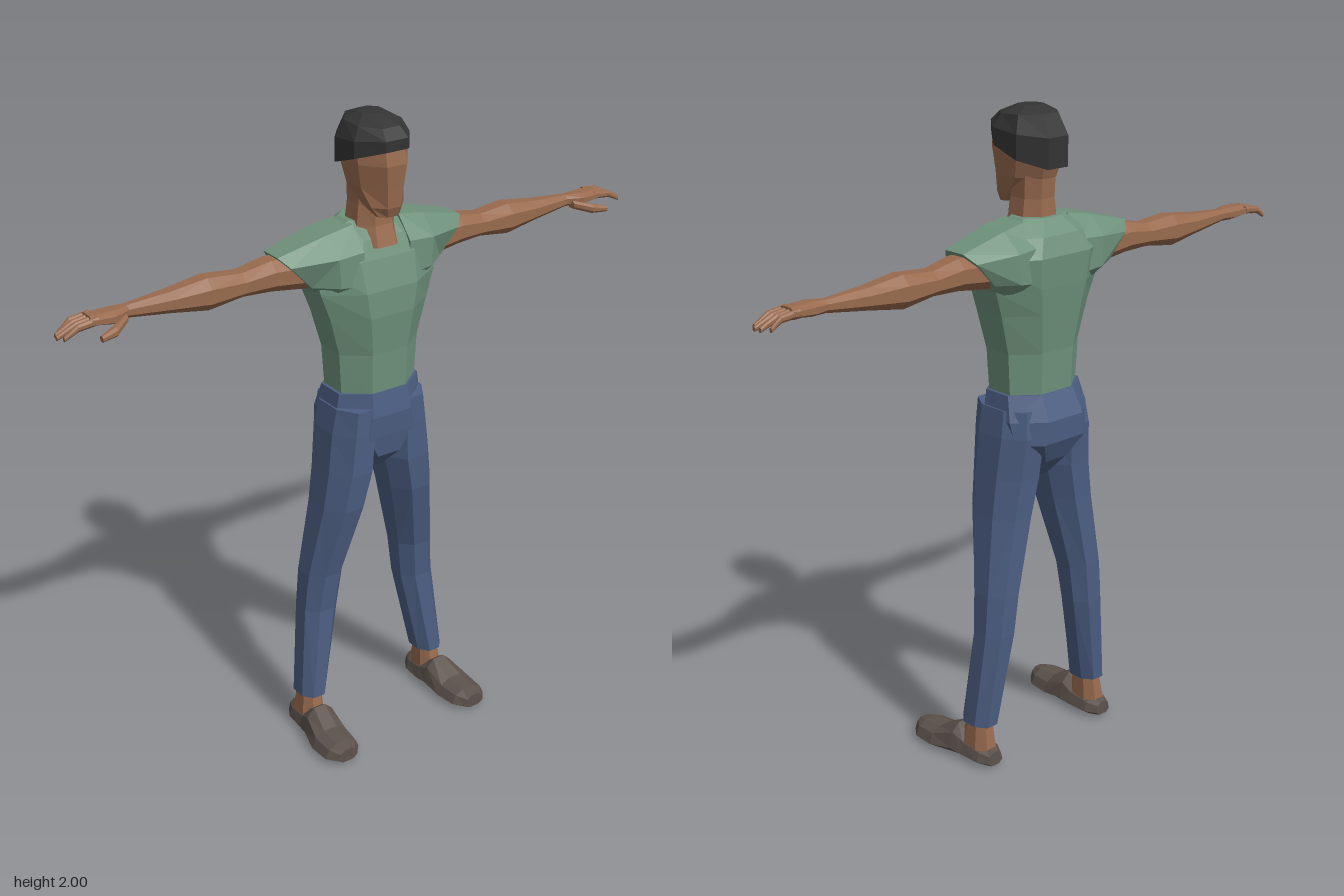
import * as THREE from 'three';

const mat = (name, color) => {
  const m = new THREE.MeshStandardMaterial({ color, flatShading: true });
  m.name = name;
  return m;
};

// Octagon inside a rectangle a0..a1 by b0..b1; c is the share of each side cut at the corners.
function octagon(a0, a1, b0, b1, c = 0.28) {
  const u = [c, 1 - c, 1, 1, 1 - c, c, 0, 0];
  const v = [0, 0, c, 1 - c, 1, 1, 1 - c, c];
  return u.map((t, i) => [a0 + (a1 - a0) * t, b0 + (b1 - b0) * v[i]]);
}
// Cross-section at height y, optionally sloping along z.
const ringY = (y, x0, x1, z0, z1, c, slope = 0) =>
  octagon(x0, x1, z0, z1, c).map(([x, z]) => [x, y + slope * z, z]);
// Cross-section at x; xTop lets the cut lean outward at the top.
const ringX = (x, y0, y1, z0, z1, xTop = x, c = 0.28) =>
  octagon(y0, y1, z0, z1, c).map(([y, z]) => [x + (xTop - x) * (y - y0) / (y1 - y0), y, z]);
// Cross-section at z, narrower at the top.
const ringZ = (z, x0, x1, y0, y1) =>
  octagon(x0, x1, y0, y1, 0.25).map(([x, y]) => {
    const mid = (x0 + x1) / 2;
    return [mid + (x - mid) * (1.05 - 0.4 * (y - y0) / (y1 - y0)), y, z];
  });

// Skin a list of rings and close both ends; faces always point outward.
function loft(name, material, rings, side = 1) {
  const tris = [];
  const n = rings[0].length;
  for (let r = 0; r + 1 < rings.length; r++) {
    for (let i = 0; i < n; i++) {
      const j = (i + 1) % n;
      const [a, b, c, d] = [rings[r][i], rings[r][j], rings[r + 1][j], rings[r + 1][i]];
      tris.push([a, b, c], [a, c, d]);
    }
  }
  const end = rings[rings.length - 1];
  for (let i = 1; i + 1 < n; i++) {
    tris.push([rings[0][0], rings[0][i + 1], rings[0][i]], [end[0], end[i], end[i + 1]]);
  }
  const out = tris.map(t => t.map(p => new THREE.Vector3(p[0] * side, p[1], p[2])));
  const origin = out[0][0].clone();
  let volume = 0;
  for (const [a, b, c] of out) {
    volume += a.clone().sub(origin).dot(b.clone().sub(origin).cross(c.clone().sub(origin)));
  }
  if (volume < 0) out.forEach(t => t.reverse());
  const geo = new THREE.BufferGeometry().setFromPoints(out.flat());
  geo.computeVertexNormals();
  const mesh = new THREE.Mesh(geo, material);
  mesh.name = name;
  return mesh;
}

export function createModel() {
  const model = new THREE.Group();
  model.name = 'standingMan';
  const skin = mat('skin', 0x986a4e);
  const hair = mat('hair', 0x343434);
  const shirt = mat('shirt', 0x6e917b);
  const jeans = mat('jeans', 0x4c5e82);
  const shoe = mat('shoe', 0x5c524c);
  const add = (...args) => model.add(loft(...args));
  // Symmetric horizontal section
  const sym = (y, x, z0, z1, c, slope) => ringY(y, -x, x, z0, z1, c, slope);

  // Head, neck and hair
  add('head', skin, [
    sym(1.715, 0.035, 0.02, 0.066, 0.28),
    sym(1.745, 0.055, -0.035, 0.078, 0.3),
    sym(1.8, 0.074, -0.115, 0.083, 0.32),
    sym(1.87, 0.085, -0.138, 0.09, 0.3),
    sym(1.93, 0.085, -0.135, 0.08, 0.3),
  ]);
  add('neck', skin, [
    sym(1.62, 0.075, -0.12, 0.045),
    sym(1.68, 0.066, -0.115, 0.026),
    sym(1.74, 0.058, -0.11, 0.02),
    sym(1.82, 0.058, -0.115, 0.02),
  ]);
  add('hair', hair, [
    sym(1.882, 0.095, -0.15, 0.088, 0.3, 0.34),
    sym(1.935, 0.094, -0.152, 0.09, 0.3, 0.1),
    sym(1.975, 0.074, -0.12, 0.06, 0.3, -0.05),
    sym(1.998, 0.036, -0.075, 0.0, 0.3, -0.02),
  ]);

  // Shirt body
  add('shirtBody', shirt, [
    sym(1.165, 0.132, -0.15, 0.055),
    sym(1.3, 0.14, -0.155, 0.06),
    sym(1.42, 0.172, -0.17, 0.072),
    sym(1.5, 0.2, -0.18, 0.07),
    sym(1.59, 0.215, -0.187, 0.047),
    sym(1.645, 0.155, -0.165, 0.024),
    sym(1.69, 0.078, -0.13, -0.002),
  ]);

  // Hips
  add('hips', jeans, [
    sym(1.175, 0.142, -0.155, 0.06),
    sym(1.1, 0.155, -0.19, 0.072),
    sym(1.03, 0.145, -0.186, 0.066, 0.22),
    sym(0.96, 0.09, -0.15, 0.055),
    sym(0.9, 0.03, -0.1, 0.0),
  ]);

  for (const side of [1, -1]) {
    const s = side > 0 ? 'left' : 'right';

    // Sleeve with a slanted opening
    add(s + 'Sleeve', shirt, [
      ringX(0.08, 1.45, 1.685, -0.165, 0.045),
      ringX(0.155, 1.47, 1.67, -0.172, 0.045, 0.17),
      ringX(0.2, 1.5, 1.63, -0.138, -0.005, 0.32, 0.22),
    ], side);

    // Arm
    add(s + 'Arm', skin, [
      ringX(0.17, 1.505, 1.615, -0.13, -0.015),
      ringX(0.33, 1.527, 1.618, -0.13, -0.024),
      ringX(0.42, 1.53, 1.6, -0.128, -0.035),
      ringX(0.53, 1.515, 1.61, -0.133, -0.036),
      ringX(0.64, 1.532, 1.595, -0.122, -0.048),
      ringX(0.78, 1.55, 1.585, -0.103, -0.064),
    ], side);

    // Hand
    add(s + 'Palm', skin, [
      ringX(0.77, 1.55, 1.585, -0.103, -0.064),
      ringX(0.82, 1.548, 1.588, -0.112, -0.038),
      ringX(0.89, 1.558, 1.586, -0.116, -0.042),
    ], side);
    add(s + 'Thumb', skin, [
      ringX(0.785, 1.545, 1.57, -0.075, -0.045),
      ringX(0.835, 1.53, 1.558, -0.042, -0.008),
      ringX(0.885, 1.53, 1.547, -0.016, 0.002),
    ], side);
    [0.96, 0.98, 0.985, 0.972].forEach((tip, i) => {
      const z = -0.107 + i * 0.0187;
      add(s + 'Finger' + (i + 1), skin, [
        ringX(0.87, 1.562, 1.584, z - 0.009, z + 0.009),
        ringX(0.93, 1.556, 1.576, z - 0.008, z + 0.008),
        ringX(tip, 1.537, 1.55, z - 0.006, z + 0.006),
      ], side);
    });

    // Trouser leg
    add(s + 'TrouserLeg', jeans, [
      ringY(1.13, 0.02, 0.155, -0.15, 0.066),
      ringY(1.05, 0.015, 0.17, -0.16, 0.066),
      ringY(0.92, 0.02, 0.185, -0.148, 0.062),
      ringY(0.8, 0.05, 0.2, -0.142, 0.05),
      ringY(0.56, 0.108, 0.234, -0.142, -0.004),
      ringY(0.43, 0.125, 0.245, -0.138, -0.018),
      ringY(0.13, 0.185, 0.275, -0.116, -0.002),
    ], side);

    // Ankle and shoe
    add(s + 'Ankle', skin, [
      ringY(0.05, 0.195, 0.275, -0.118, 0.0),
      ringY(0.15, 0.2, 0.262, -0.1, -0.02),
    ], side);
    add(s + 'Shoe', shoe, [
      ringZ(-0.135, 0.205, 0.265, 0.005, 0.05),
      ringZ(-0.1, 0.182, 0.285, 0.002, 0.06),
      ringZ(-0.03, 0.176, 0.292, 0.0, 0.076),
      ringZ(0.01, 0.176, 0.3, 0.0, 0.102),
      ringZ(0.085, 0.176, 0.32, 0.0, 0.064),
      ringZ(0.155, 0.185, 0.316, 0.002, 0.058),
      ringZ(0.19, 0.215, 0.288, 0.006, 0.05),
    ], side);
  }
  return model;
}
